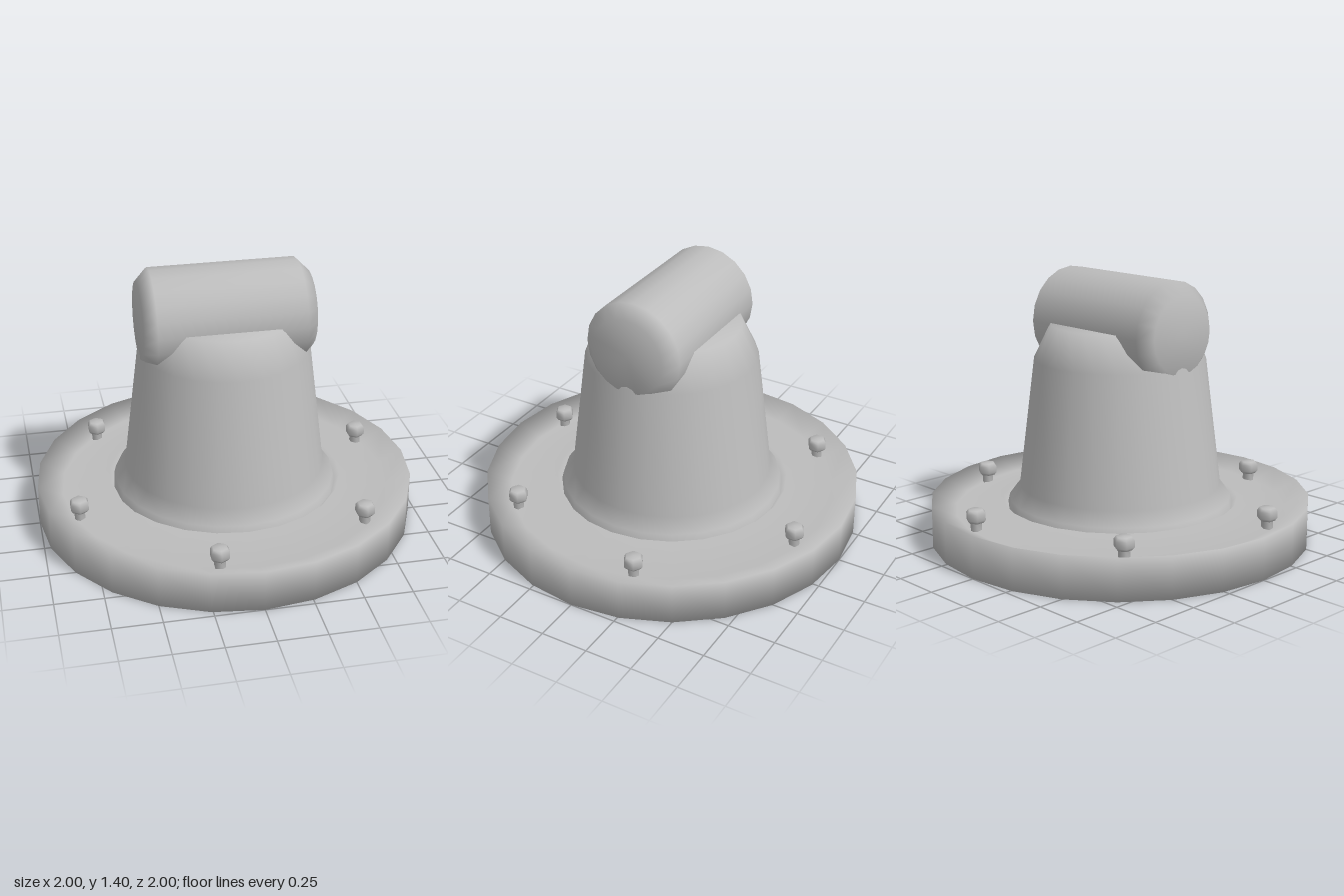
import * as THREE from 'three';
import { mergeVertices } from 'three/addons/utils/BufferGeometryUtils.js';

// Smooth turned part from [radius, height] pairs, listed bottom to top
function turned(name, profile, sides, material) {
  const points = profile.map(([r, y]) => new THREE.Vector2(r, y));
  const lathe = new THREE.LatheGeometry(points, sides);
  lathe.deleteAttribute('uv');
  lathe.deleteAttribute('normal');
  const geometry = mergeVertices(lathe);
  geometry.computeVertexNormals();
  const mesh = new THREE.Mesh(geometry, material);
  mesh.name = name;
  return mesh;
}

export function createModel() {
  const model = new THREE.Group();
  model.name = 'pivotMount';
  const grey = new THREE.MeshStandardMaterial({ color: 0xbcbcbc });
  grey.name = 'plain grey';

  // Round base: bevelled rim, shallow channel under the bolts, groove around the neck
  model.add(turned('base', [
    [0.87, 0.06], [1, 0], [1, 0.22], [0.87, 0.16],
    [0.62, 0.205], [0.585, 0.165], [0.5, 0.165],
  ], 24, grey));

  // Flat underside set into the rim
  const underside = new THREE.Mesh(new THREE.CircleGeometry(0.87, 24), grey);
  underside.name = 'underside';
  underside.rotation.x = Math.PI / 2;
  underside.position.y = 0.06;
  model.add(underside);

  // Tapered neck with a flared foot and a bevelled shoulder
  model.add(turned('neck', [
    [0.6, 0.16], [0.585, 0.22], [0.53, 0.29], [0.447, 0.96], [0.36, 1.14], [0, 1.14],
  ], 24, grey));

  // Horizontal barrel with bevelled ends
  const barrel = turned('barrel', [
    [0, -0.443], [0.2, -0.443], [0.265, -0.38],
    [0.265, 0.38], [0.2, 0.443], [0, 0.443],
  ], 20, grey);
  barrel.rotation.z = Math.PI / 2;
  barrel.position.y = 1.133;
  model.add(barrel);

  // Six hexagonal bolts on short shanks around the base
  const bolts = new THREE.Group();
  bolts.name = 'bolts';
  const start = Math.atan2(0.83, -0.19);
  for (let i = 0; i < 6; i++) {
    const a = start + i * Math.PI / 3;
    const bolt = turned('bolt', [
      [0.03, 0.14], [0.03, 0.205], [0.04, 0.205], [0.052, 0.22],
      [0.052, 0.255], [0.04, 0.272], [0, 0.272],
    ], 6, grey);
    bolt.position.set(0.845 * Math.cos(a), 0, 0.845 * Math.sin(a));
    bolts.add(bolt);
  }
  model.add(bolts);

  return model;
}
